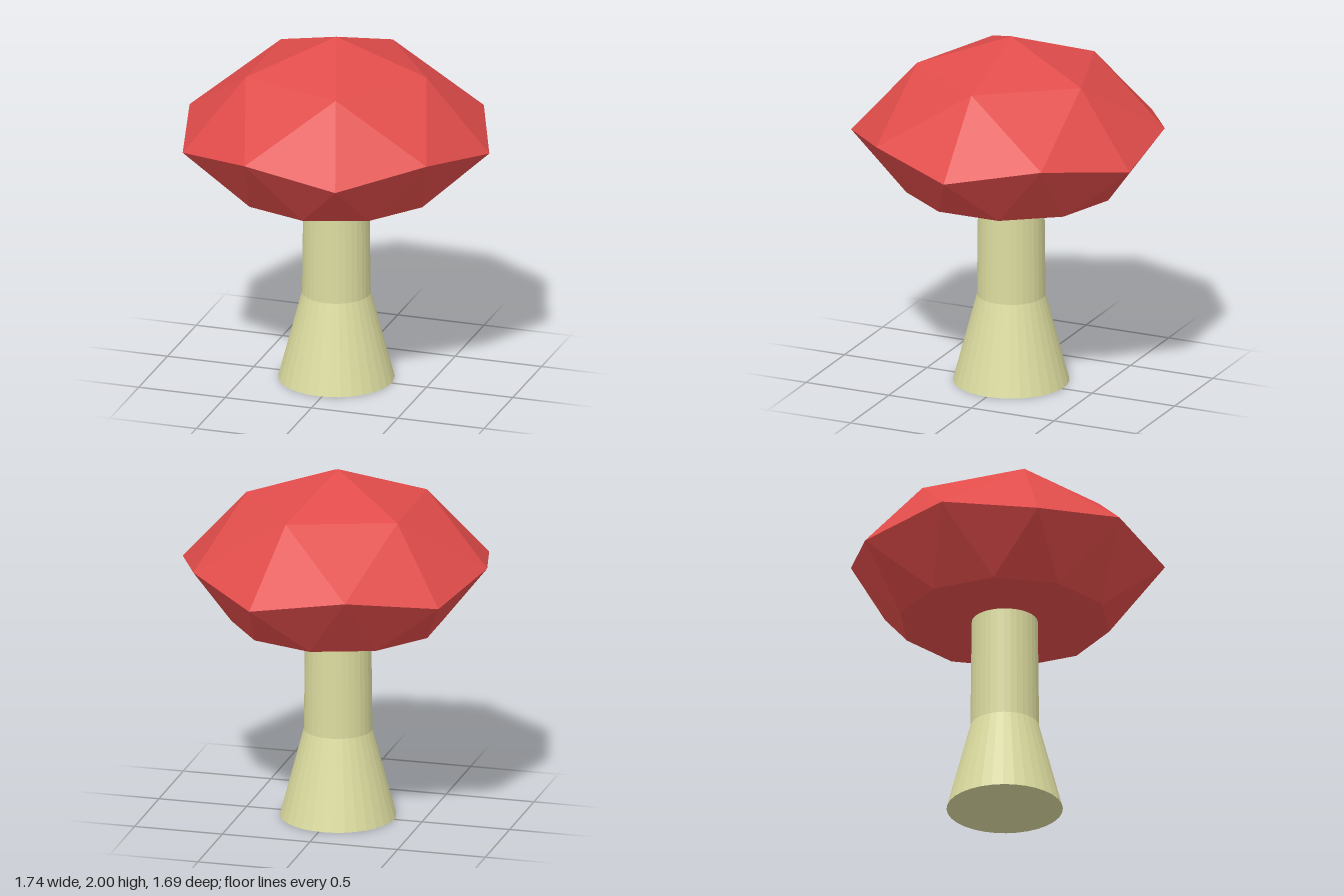
import * as THREE from 'three';

const CX = -0.022; // shared axis of cap and stem

// Ring of points; radius and height may alternate
function ring(count, start, radii, heights) {
  return Array.from({ length: count }, (_, i) => {
    const a = start + (i / count) * Math.PI * 2;
    const r = radii[i % radii.length];
    return [r * Math.cos(a), heights[i % heights.length], r * Math.sin(a)];
  });
}

// Faceted cap: half of a subdivided icosahedron with a tucked-in flat underside
function capGeometry() {
  const apex = [0, 2, 0];
  const crown = ring(5, 0, [0.522], [1.823]);
  const rim = ring(10, 0, [0.886, 0.85], [1.42, 1.5]);
  const base = ring(10, Math.PI / 10, [0.587], [1.13]);
  const centre = [0, 1.13, 0];
  const pos = [];
  const tri = (...corners) => corners.forEach((c) => pos.push(...c));

  for (let k = 0; k < 5; k++) {
    const a = crown[k], b = crown[(k + 1) % 5];
    const r0 = rim[2 * k], r1 = rim[2 * k + 1], r2 = rim[(2 * k + 2) % 10];
    tri(apex, b, a);
    tri(a, r1, r0);
    tri(a, b, r1);
    tri(b, r2, r1);
  }
  for (let j = 0; j < 10; j++) {
    const n = (j + 1) % 10;
    tri(rim[j], rim[n], base[j]);
    tri(rim[n], base[n], base[j]);
    tri(centre, base[j], base[n]);
  }
  const g = new THREE.BufferGeometry();
  g.setAttribute('position', new THREE.Float32BufferAttribute(pos, 3));
  g.computeVertexNormals();
  return g;
}

export function createModel() {
  const model = new THREE.Group();
  model.name = 'mushroom';

  const red = new THREE.MeshStandardMaterial({ color: 0xe04c4a, flatShading: true });
  const cream = new THREE.MeshStandardMaterial({ color: 0xdcdca0, flatShading: true });

  const cap = new THREE.Mesh(capGeometry(), red);
  cap.name = 'cap';
  cap.position.x = CX;

  // Stem: flared foot below a nearly straight neck, closed underneath
  const profile = [[0, 0], [0.32, 0], [0.189, 0.5], [0.182, 1.13]];
  const stem = new THREE.Mesh(
    new THREE.LatheGeometry(profile.map(([r, y]) => new THREE.Vector2(r, y)), 32),
    cream
  );
  stem.name = 'stem';
  stem.position.x = CX;

  model.add(cap, stem);
  return model;
}
